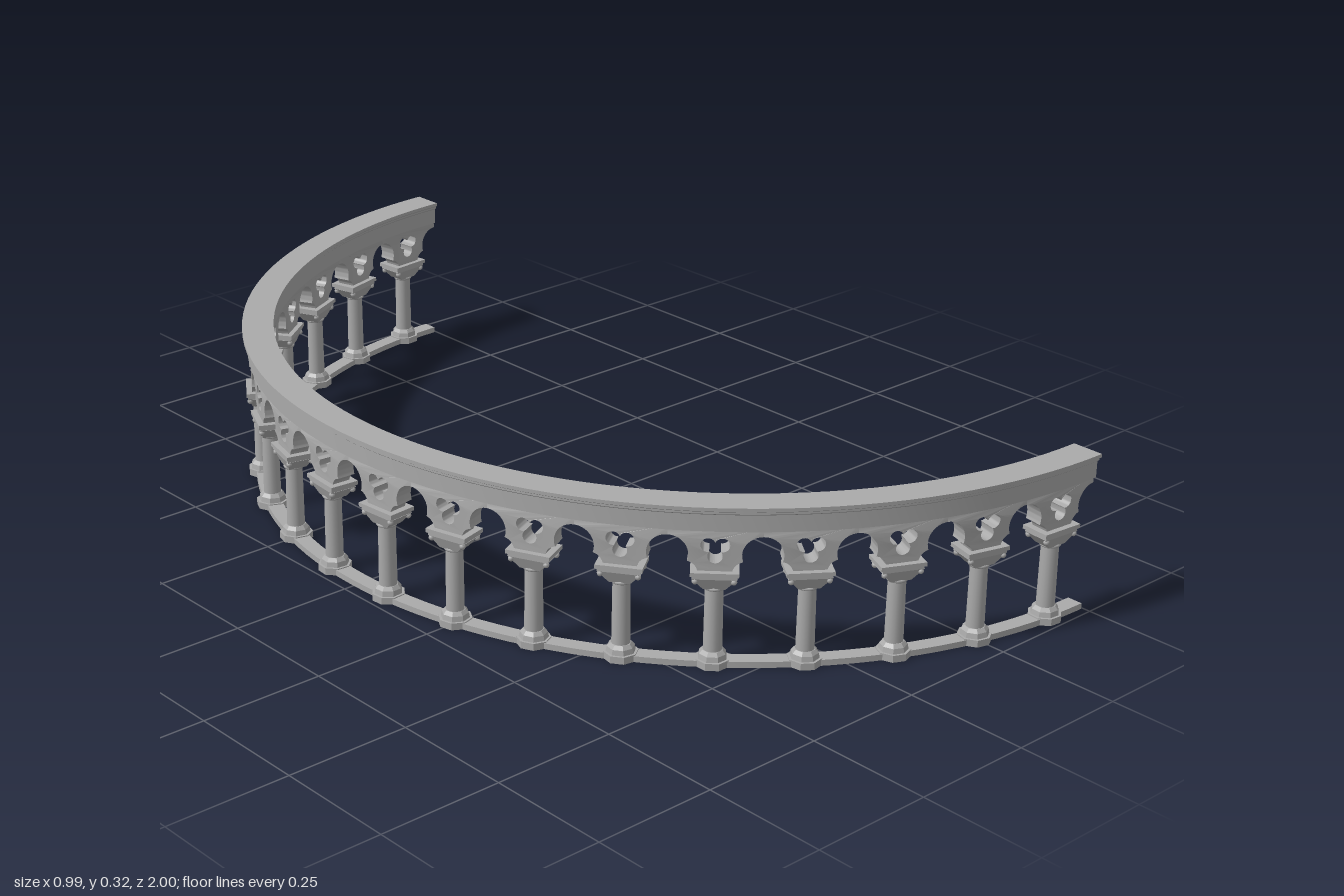
import * as THREE from 'three';
import { toCreasedNormals } from 'three/addons/utils/BufferGeometryUtils.js';

const BAYS = 18;
const TRIM = 0.0087;                       // the arc stops a little short of a half circle
const START = Math.PI + TRIM;
const SPAN = Math.PI - 2 * TRIM;
const PITCH = SPAN / BAYS;
const R = 0.9667;                          // radius of the column line
const CENTRE_X = 0.5043;

const stone = new THREE.MeshStandardMaterial({ color: 0xaaaaaa });
stone.name = 'grey stone';
stone.side = THREE.DoubleSide;

function add(parent, geometry, name, x = 0, y = 0, z = 0) {
  const mesh = new THREE.Mesh(geometry, stone);
  mesh.name = name;
  mesh.position.set(x, y, z);
  parent.add(mesh);
  return mesh;
}

// Sweeps a closed [radius, height] profile round the arc and caps both ends
function curvedBar(parent, name, profile) {
  const bar = new THREE.Group();
  bar.name = name;
  const points = profile.map(([r, y]) => new THREE.Vector2(r, y));
  const sweep = new THREE.LatheGeometry([...points, points[0].clone()], BAYS * 4, START, SPAN);
  add(bar, toCreasedNormals(sweep, 0.3), name + 'Sweep');
  const cap = new THREE.ShapeGeometry(new THREE.Shape(points));
  for (const angle of [START, START + SPAN]) {
    add(bar, cap, name + 'End').rotation.y = angle - Math.PI / 2;
  }
  parent.add(bar);
}

// Tracery panel: cusped half arches on both sides and a trefoil opening
function traceryGeometry() {
  const h = R * PITCH / 2, lobe = 0.037, cy = 0.226, cusp = 0.35, foot = 0.03;
  const cuspX = h - lobe * Math.cos(cusp), cuspY = cy - lobe * Math.sin(cusp);
  const shape = new THREE.Shape();
  shape.moveTo(-h, 0.28);
  shape.lineTo(-h, cy + lobe);
  shape.absarc(-h, cy, lobe, Math.PI / 2, -cusp, true);
  shape.quadraticCurveTo(-0.034, 0.21, -foot, 0.193);
  shape.lineTo(foot, 0.193);
  shape.quadraticCurveTo(0.034, 0.21, cuspX, cuspY);
  shape.absarc(h, cy, lobe, Math.PI + cusp, Math.PI / 2, true);
  shape.lineTo(h, 0.28);

  const trefoil = new THREE.Path();
  for (let k = 0; k < 3; k++) {
    const a = Math.PI / 6 + k * Math.PI * 2 / 3;
    trefoil.absarc(0.0145 * Math.cos(a), 0.2385 + 0.0145 * Math.sin(a), 0.0135, a - 2.243, a + 2.243, false);
  }
  shape.holes.push(trefoil);

  const depth = 0.038;
  const geometry = new THREE.ExtrudeGeometry(shape, { depth, bevelEnabled: false, curveSegments: 10 });
  geometry.translate(0, 0, -depth / 2);
  // Bend the flat panel round the arc
  const p = geometry.attributes.position;
  for (let i = 0; i < p.count; i++) {
    const a = p.getX(i) / R, r = R + p.getZ(i);
    p.setXYZ(i, r * Math.sin(a), p.getY(i), r * Math.cos(a));
  }
  return toCreasedNormals(geometry, 0.6);
}

// Octagonal block with flat sides to the front
function octagon(top, bottom, height) {
  const g = new THREE.CylinderGeometry(top, bottom, height, 8);
  g.rotateY(Math.PI / 8);
  return toCreasedNormals(g, 0.3);
}

// Four-sided flare from a square neck to the oblong abacus
function flareGeometry(y0, y1) {
  const g = new THREE.CylinderGeometry(Math.SQRT2, Math.SQRT2, 1, 4).toNonIndexed();
  g.rotateY(Math.PI / 4);
  const p = g.attributes.position;
  for (let i = 0; i < p.count; i++) {
    const up = p.getY(i) > 0;
    p.setXYZ(i, p.getX(i) * (up ? 0.041 : 0.02), up ? y1 : y0, p.getZ(i) * (up ? 0.027 : 0.018));
  }
  g.computeVertexNormals();
  return g;
}

export function createModel() {
  const model = new THREE.Group();
  model.name = 'curvedArcade';
  const arc = new THREE.Group();
  arc.name = 'arcade';
  arc.position.x = CENTRE_X;
  model.add(arc);

  // Moulded rail on top and thin kerb at the ground
  curvedBar(arc, 'topRail', [
    [0.943, 0.275], [0.991, 0.275], [0.991, 0.308], [0.995, 0.311],
    [0.995, 0.315], [1, 0.318], [1, 0.325], [0.935, 0.325],
    [0.935, 0.318], [0.939, 0.315], [0.939, 0.311], [0.943, 0.308],
  ]);
  curvedBar(arc, 'groundKerb', [[0.951, 0], [0.983, 0], [0.983, 0.012], [0.951, 0.012]]);

  // Geometry shared by every bay
  const tracery = traceryGeometry();
  const plinth = octagon(0.033, 0.033, 0.014);
  const baseBlock = octagon(0.026, 0.028, 0.01);
  const baseTaper = octagon(0.02, 0.026, 0.007);
  const shaft = new THREE.CylinderGeometry(0.0168, 0.0178, 0.135, 16);
  const neckRing = new THREE.TorusGeometry(0.0175, 0.0035, 6, 16).rotateX(Math.PI / 2);
  const flare = flareGeometry(0.158, 0.182);
  const abacus = new THREE.BoxGeometry(0.088, 0.008, 0.06);
  const abacusStep = new THREE.BoxGeometry(0.08, 0.006, 0.054);
  const bud = new THREE.SphereGeometry(0.006, 8, 6);

  for (let i = 0; i < BAYS; i++) {
    const bay = new THREE.Group();
    bay.name = 'bay' + (i + 1);
    bay.rotation.y = START + (i + 0.5) * PITCH;
    arc.add(bay);

    add(bay, tracery, 'tracery');
    add(bay, plinth, 'plinth', 0, 0.007, R);
    add(bay, baseBlock, 'baseBlock', 0, 0.019, R);
    add(bay, baseTaper, 'baseTaper', 0, 0.0275, R);
    add(bay, shaft, 'shaft', 0, 0.0945, R);
    add(bay, neckRing, 'neckRing', 0, 0.157, R);
    add(bay, flare, 'capitalFlare', 0, 0, R);
    add(bay, abacusStep, 'abacusStep', 0, 0.184, R);
    add(bay, abacus, 'abacus', 0, 0.191, R);
    // Carved buds under the abacus corners
    for (const sx of [-1, 1]) {
      for (const sz of [-1, 1]) add(bay, bud, 'capitalBud', sx * 0.035, 0.176, R + sz * 0.023);
    }
  }
  return model;
}
